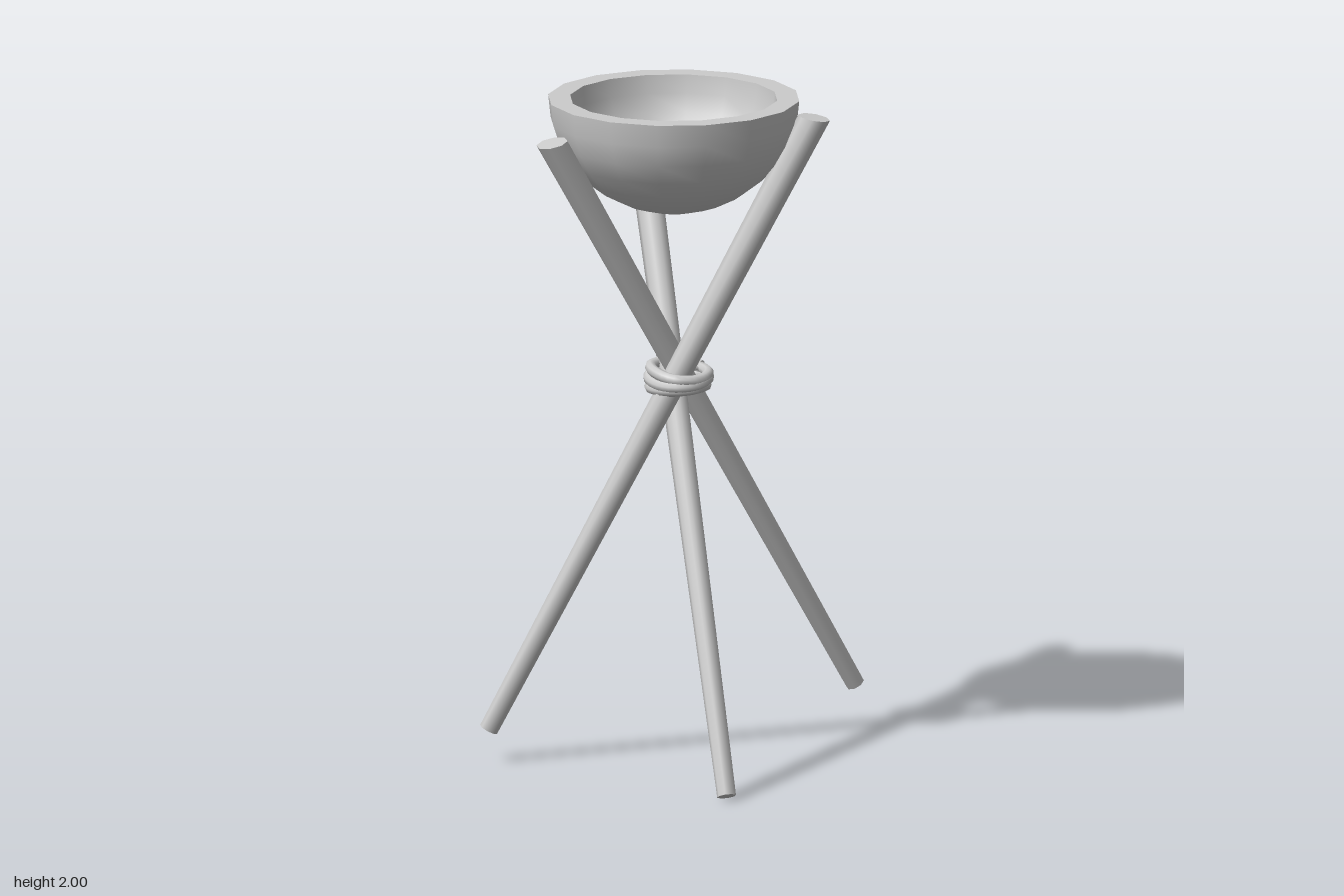
import * as THREE from 'three';
import { toCreasedNormals } from 'three/addons/utils/BufferGeometryUtils.js';

const material = new THREE.MeshStandardMaterial({ color: 0xcccccc });
const bothSides = new THREE.MeshStandardMaterial({ color: 0xcccccc, side: THREE.DoubleSide });

function add(group, name, geometry, mat = material) {
  const mesh = new THREE.Mesh(geometry, mat);
  mesh.name = name;
  group.add(mesh);
  return mesh;
}

// Tapered eight-sided pole: square-cut foot, nearly level cut at the head
function poleGeometry(foot, head) {
  const axis = head.clone().sub(foot);
  const length = axis.length();
  axis.normalize();
  const geo = new THREE.CylinderGeometry(0.045, 0.028, length, 8);
  geo.applyQuaternion(new THREE.Quaternion().setFromUnitVectors(new THREE.Vector3(0, 1, 0), axis));
  const mid = foot.clone().add(head).multiplyScalar(0.5);
  geo.translate(mid.x, mid.y, mid.z);

  // Slide the head ring along the axis onto the cutting plane
  const normal = new THREE.Vector3(axis.x * 0.35, axis.y, axis.z * 0.35).normalize();
  const pos = geo.attributes.position;
  const p = new THREE.Vector3();
  for (let i = 0; i < pos.count; i++) {
    p.fromBufferAttribute(pos, i);
    if (p.clone().sub(mid).dot(axis) < 0) continue;
    const shift = head.clone().sub(p).dot(normal) / axis.dot(normal);
    p.addScaledVector(axis, shift);
    pos.setXYZ(i, p.x, p.y, p.z);
  }
  return toCreasedNormals(geo, 0.9);
}

// Hollow bowl with a flat rim
function bowlGeometry() {
  const points = [];
  const steps = 8;
  for (let i = 0; i <= steps; i++) {
    const a = (i / steps) * Math.PI / 2;
    points.push(new THREE.Vector2(0.37 * Math.sin(a), -0.34 * Math.cos(a)));
  }
  for (let i = steps; i >= 0; i--) {
    const a = (i / steps) * Math.PI / 2;
    points.push(new THREE.Vector2(0.305 * Math.sin(a), -0.28 * Math.cos(a)));
  }
  return toCreasedNormals(new THREE.LatheGeometry(points, 16), 0.7);
}

// Rope wound three times, each turn leaning a little differently
function ropeGeometry() {
  const points = [];
  const turns = 3, perTurn = 14;
  for (let i = 0; i <= turns * perTurn; i++) {
    const t = i / (turns * perTurn);
    const a = t * turns * Math.PI * 2;
    const r = 0.078 + 0.009 * Math.sin(t * Math.PI) + 0.004 * Math.cos(3 * a);
    const y = -0.031 + 0.062 * t + 0.009 * Math.sin(a + t * 4);
    points.push(new THREE.Vector3(r * Math.cos(a), y, r * Math.sin(a)));
  }
  return new THREE.TubeGeometry(new THREE.CatmullRomCurve3(points), 90, 0.017, 8);
}

export function createModel() {
  const group = new THREE.Group();
  group.name = 'tripodBowl';

  const poles = [
    ['leftPole', [0.55, 0.15, -0.017], [-0.535, 1.915, -0.06]],
    ['backPole', [-0.53, 0.1, -0.37], [0.165, 1.957, 0.287]],
    ['frontPole', [-0.28, 0.013, 0.445], [0.05, 1.96, -0.43]],
  ];
  for (const [name, foot, head] of poles) {
    add(group, name, poleGeometry(new THREE.Vector3(...foot), new THREE.Vector3(...head)));
  }

  add(group, 'bowl', bowlGeometry()).position.set(-0.117, 2, -0.02);
  add(group, 'ropeBinding', ropeGeometry(), bothSides).position.set(-0.095, 1.157, -0.022);

  return group;
}
